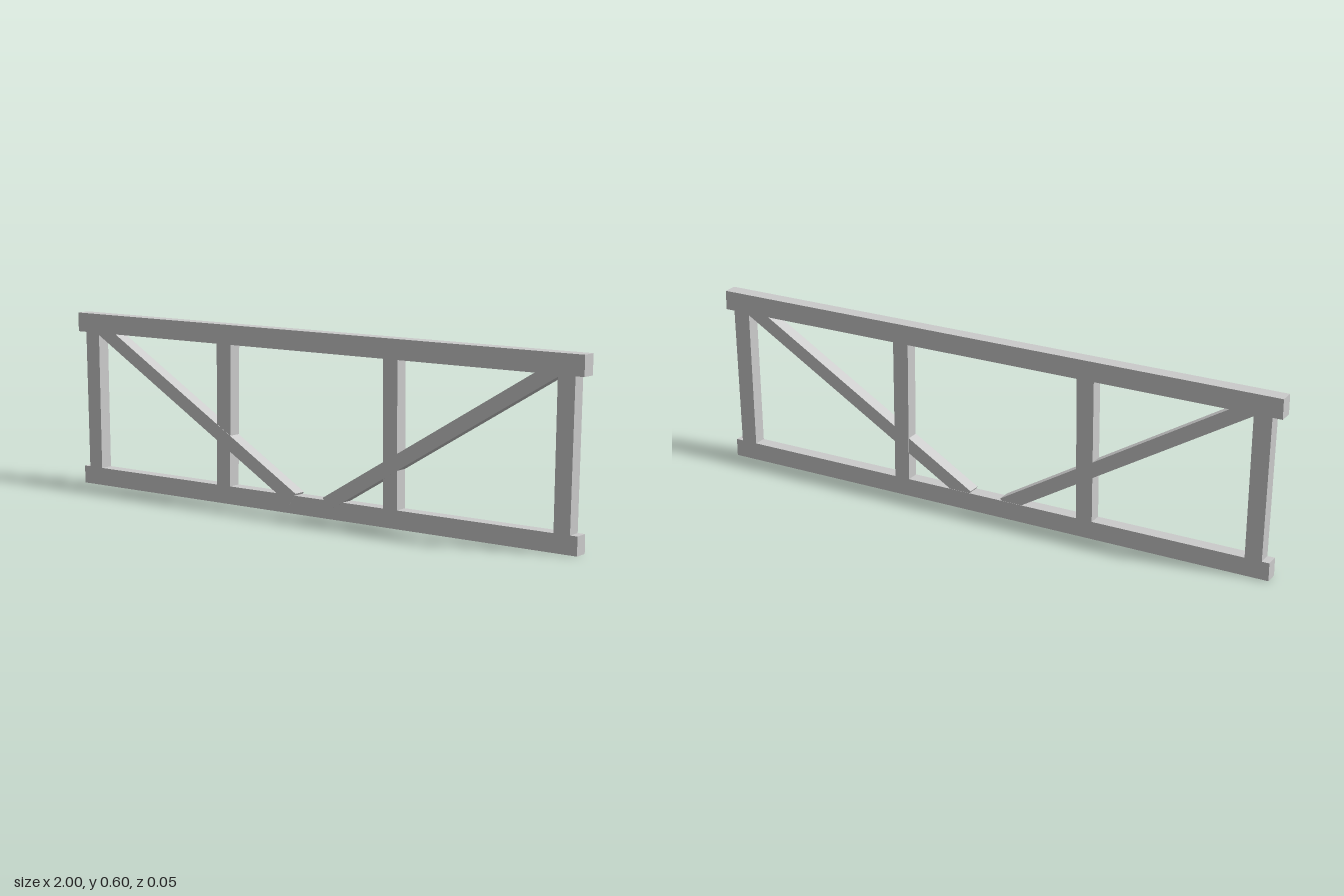
import * as THREE from 'three';

const material = new THREE.MeshStandardMaterial({ color: 0xcccccc, flatShading: true });

// Flat timber: an outline in the xy plane given thickness from zBack to zFront
function timber(name, points, zBack, zFront) {
  const shape = new THREE.Shape(points.map(([x, y]) => new THREE.Vector2(x, y)));
  const geometry = new THREE.ExtrudeGeometry(shape, { depth: zFront - zBack, bevelEnabled: false });
  geometry.translate(0, 0, zBack);
  const mesh = new THREE.Mesh(geometry, material);
  mesh.name = name;
  return mesh;
}

const rect = (x, y0, y1) => [[-x, y0], [x, y0], [x, y1], [-x, y1]];

// Slightly leaning post between the two rails
const post = (b0, b1, t0, t1) => [[b0, 0.06], [b1, 0.06], [t1, 0.532], [t0, 0.532]];

export function createModel() {
  const group = new THREE.Group();
  group.name = 'trussFrame';

  // Horizontal rails
  group.add(timber('topRail', rect(1, 0.532, 0.597), -0.024, 0.025));
  group.add(timber('bottomRail', rect(0.985, 0, 0.06), -0.024, 0.021));

  // Inner posts
  group.add(timber('rightInnerPost', post(-0.385, -0.329, -0.382, -0.323), -0.024, 0.021));
  group.add(timber('leftInnerPost', post(0.289, 0.342, 0.286, 0.341), -0.024, 0.021));

  // End posts and diagonal braces, mirrored; square brace ends sink into the rails
  const brace = [[0.055, 0.067], [0.079, 0.028], [0.914, 0.528], [0.89, 0.567]];
  for (const [side, s] of [['left', 1], ['right', -1]]) {
    const flip = (points) => points.map(([x, y]) => [s * x, y]);
    group.add(timber(side + 'EndPost', flip(post(0.904, 0.96, 0.909, 0.968)), -0.024, 0.021));
    group.add(timber(side + 'Brace', flip(brace), -0.023, 0.022));
  }
  return group;
}
